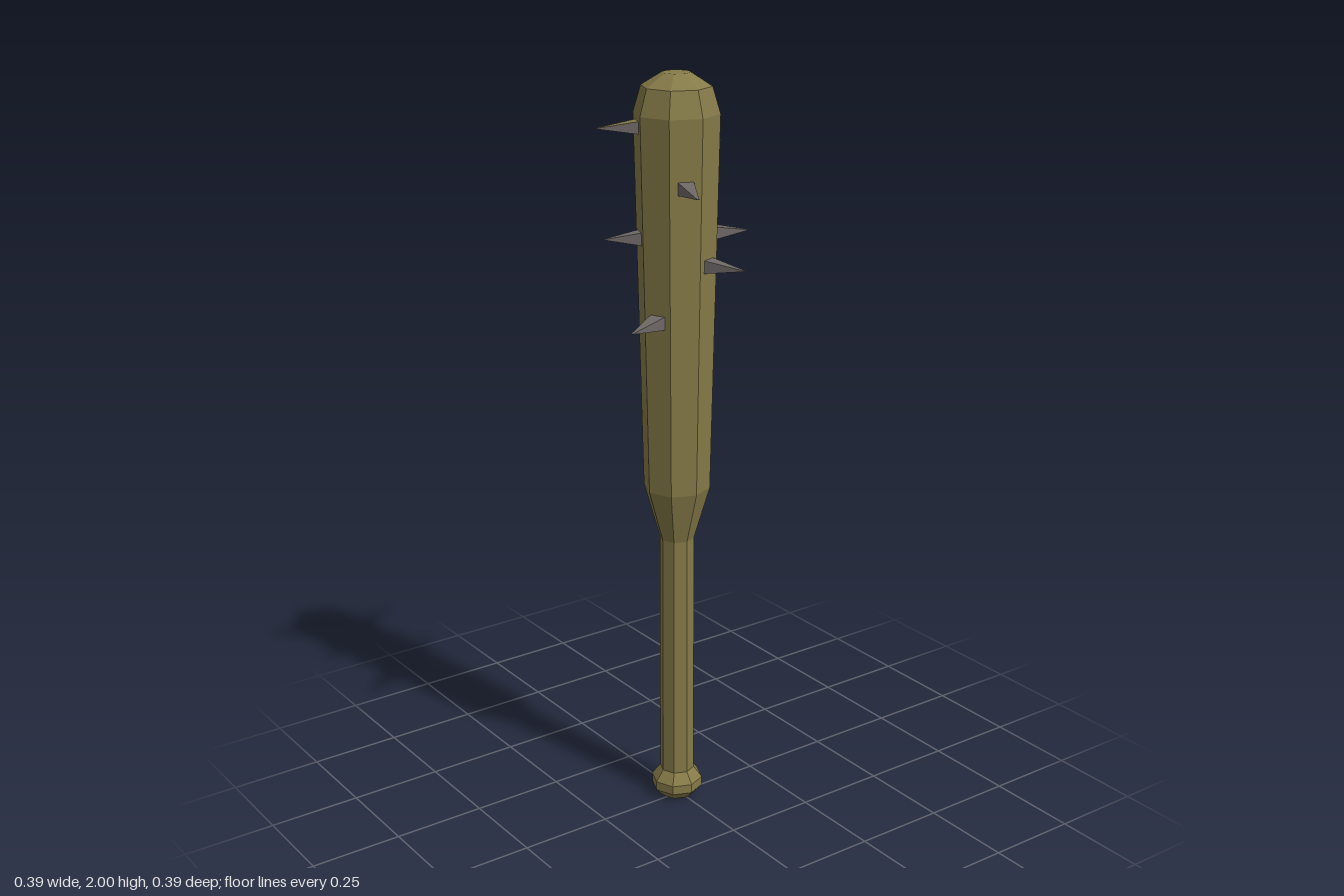
import * as THREE from 'three';

const CX = -0.0125; // axis of the club

export function createModel() {
  const wood = new THREE.MeshStandardMaterial({ color: 0x857a48 });
  wood.name = 'olive wood';
  const iron = new THREE.MeshStandardMaterial({ color: 0x6e6866 });
  iron.name = 'grey iron';

  const model = new THREE.Group();
  model.name = 'spikedClub';

  // Faceted eight-sided piece turned from [radius, height] pairs
  function turned(name, profile) {
    const points = profile.map(([r, y]) => new THREE.Vector2(r, y));
    const geo = new THREE.LatheGeometry(points, 8).toNonIndexed();
    geo.computeVertexNormals();
    const mesh = new THREE.Mesh(geo, wood);
    mesh.name = name;
    mesh.position.x = CX;
    model.add(mesh);
  }

  turned('pommel', [[0, 0], [0.047, 0], [0.07, 0.025], [0.07, 0.05], [0.047, 0.08]]);
  turned('handle', [[0.047, 0.08], [0.046, 0.77]]);
  turned('barrel', [[0.046, 0.77], [0.088, 0.915], [0.11, 1.9], [0.09, 1.967], [0.037, 2], [0, 2]]);

  // Four-sided spikes: tip x, height, tip z, and whether the upper face is wood coloured
  const spikes = [
    [-0.087, 1.87, 0.19, true],
    [-0.093, 1.8, -0.197, false],
    [0.193, 1.73, 0.084, false],
    [-0.186, 1.73, -0.073, true],
    [0.057, 1.595, -0.174, false],
    [-0.085, 1.59, 0.172, false],
    [0.171, 1.525, -0.077, false],
    [-0.195, 1.455, -0.093, false],
    [0.069, 1.385, 0.194, false],
  ];
  const root = 0.085;
  for (const [x, y, z, woodTop] of spikes) {
    const length = Math.hypot(x - CX, z) - root;
    const geo = new THREE.BoxGeometry(0.044, 0.036, length).toNonIndexed();
    const pos = geo.attributes.position;
    for (let i = 0; i < pos.count; i++) {
      // Narrow the outer end to a fine tip
      if (pos.getZ(i) > 0) pos.setXY(i, pos.getX(i) * 0.12, pos.getY(i) * 0.04);
    }
    geo.translate(0, 0, root + length / 2);
    geo.computeVertexNormals();
    const top = woodTop ? wood : iron;
    const mesh = new THREE.Mesh(geo, [iron, iron, top, iron, iron, iron]);
    mesh.name = 'spike';
    mesh.position.set(CX, y, 0);
    mesh.rotation.y = Math.atan2(x - CX, z);
    model.add(mesh);
  }
  return model;
}
